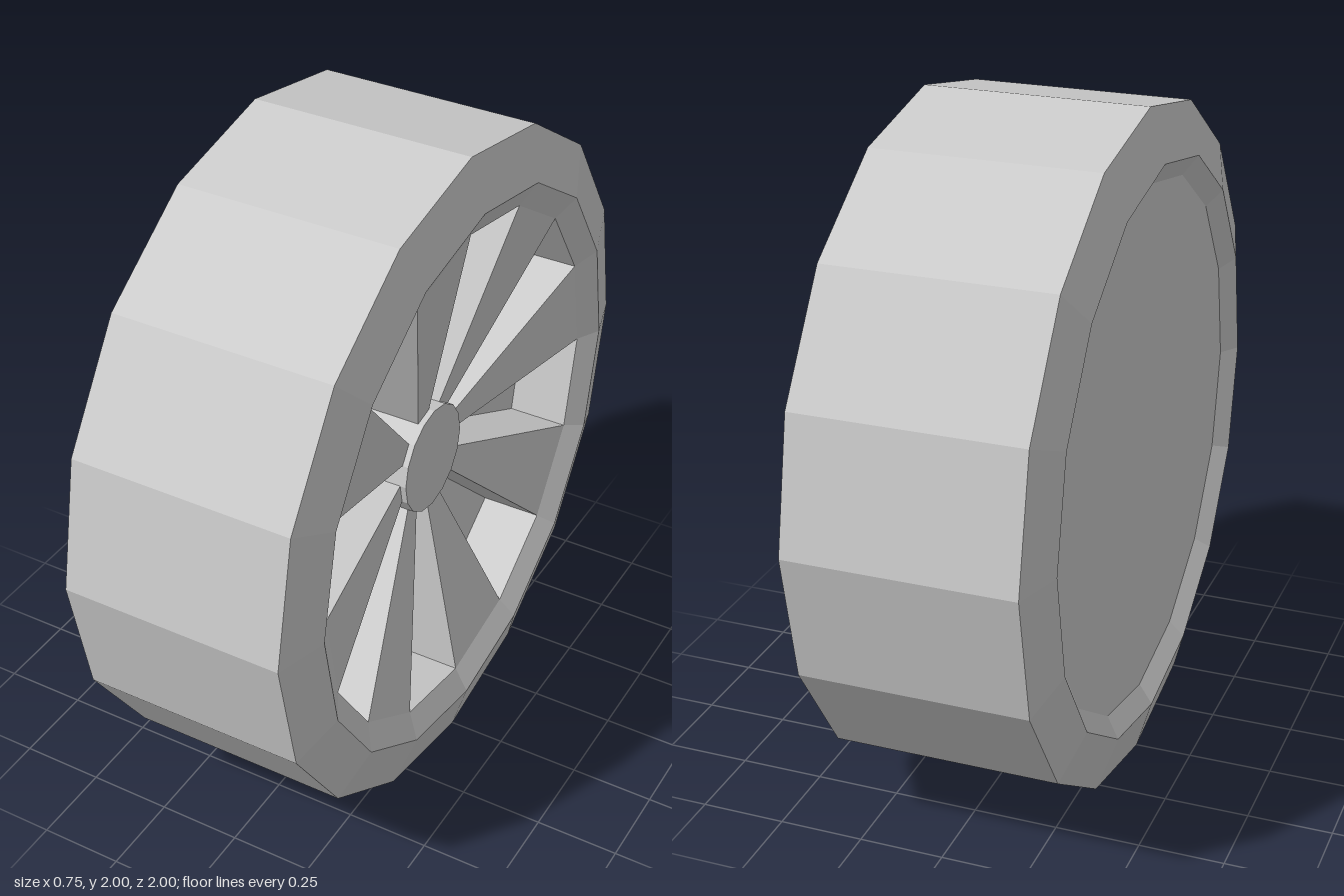
import * as THREE from 'three';

const SIDES = 16;
const HUB_R = 0.165, RIM_R = 0.77;
const material = new THREE.MeshStandardMaterial({ color: 0xcccccc, flatShading: true });

// Low-poly turned part: profile of [radius, position along the axle], axle along x
function turned(name, profile) {
  const points = profile.map(([r, x]) => new THREE.Vector2(r, x));
  const geometry = new THREE.LatheGeometry(points, SIDES);
  geometry.rotateZ(-Math.PI / 2);
  const mesh = new THREE.Mesh(geometry, material);
  mesh.name = name;
  return mesh;
}

// Wedge between hub and rim, dished towards the hub
function spokeGeometry() {
  const geometry = new THREE.BoxGeometry(1, 1, 1);
  const p = geometry.attributes.position;
  for (let i = 0; i < p.count; i++) {
    const outer = p.getZ(i) < 0;
    const front = p.getX(i) > 0;
    const angle = p.getY(i) > 0 ? (2 * Math.PI) / SIDES : 0;
    const r = outer ? RIM_R : HUB_R - 0.01;
    const x = (outer ? 0.335 : 0.22) - (front ? 0 : 0.2);
    p.setXYZ(i, x, r * Math.sin(angle), -r * Math.cos(angle));
  }
  geometry.computeVertexNormals();
  return geometry;
}

export function createModel() {
  const wheel = new THREE.Group();
  wheel.name = 'wheel';
  wheel.position.y = 1;

  // Tread and bevelled sidewalls
  wheel.add(turned('tyre', [[0.845, -0.375], [1, -0.33], [1, 0.33], [0.845, 0.375]]));

  // Inner side: shallow lip and flat cover
  wheel.add(turned('innerCover', [[0, -0.335], [0.785, -0.335], [0.845, -0.375]]));

  // Outer side: lip, well wall and dished floor behind the spokes
  wheel.add(turned('rim', [[0.845, 0.375], [RIM_R, 0.335], [RIM_R, 0.15], [HUB_R, 0.04]]));

  // Hub
  wheel.add(turned('hub', [[HUB_R, 0.03], [HUB_R, 0.24], [0, 0.24]]));

  // Eight spokes, one in every second sector
  const spokes = new THREE.Group();
  spokes.name = 'spokes';
  const geometry = spokeGeometry();
  for (let i = 0; i < SIDES / 2; i++) {
    const spoke = new THREE.Mesh(geometry, material);
    spoke.name = 'spoke';
    spoke.rotation.x = (i * 4 * Math.PI) / SIDES;
    spokes.add(spoke);
  }
  wheel.add(spokes);

  const model = new THREE.Group();
  model.name = 'model';
  model.add(wheel);
  return model;
}
